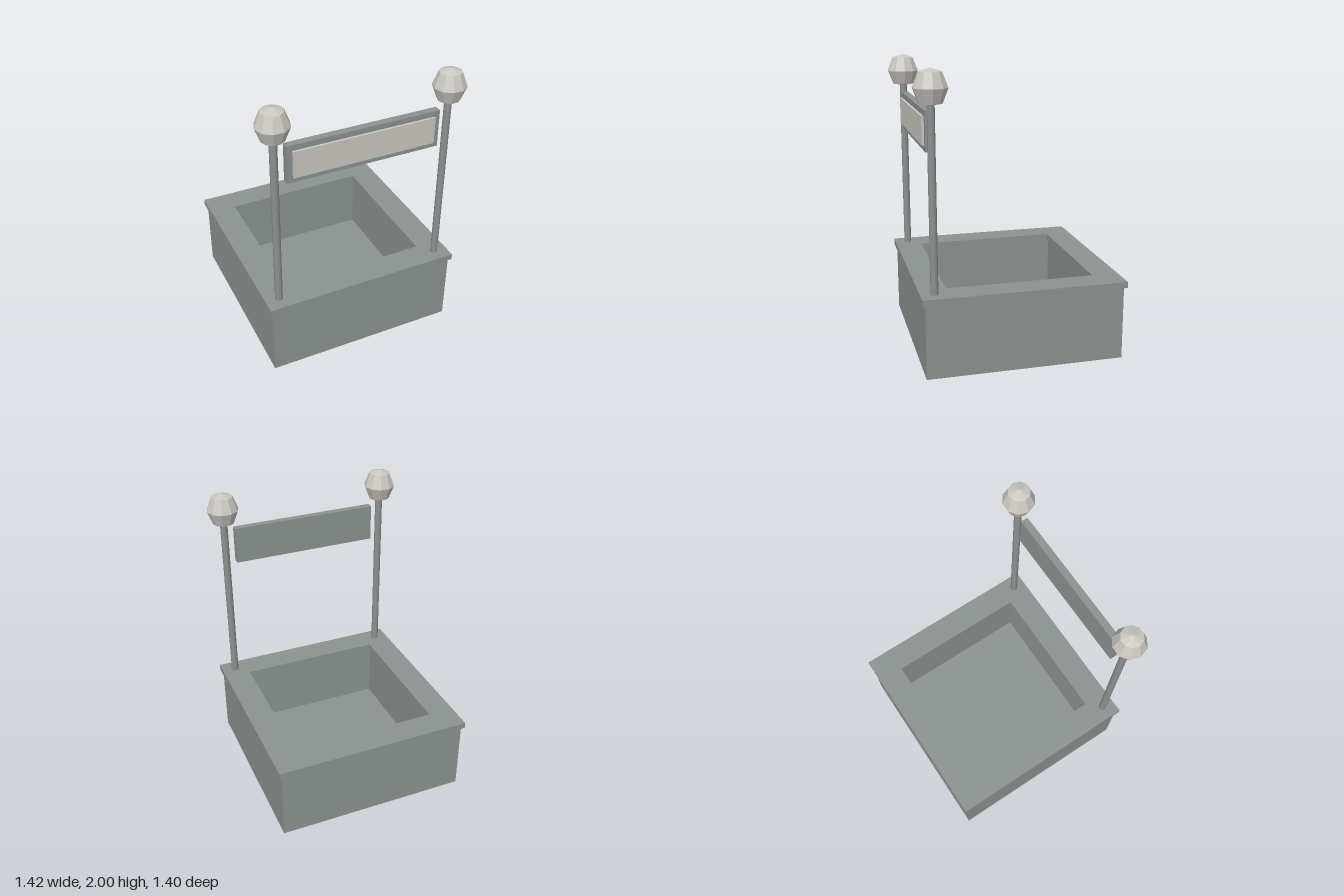
import * as THREE from 'three';

const stone = new THREE.MeshStandardMaterial({ color: 0x8b928f, name: 'grey green' });
const pale = new THREE.MeshStandardMaterial({ color: 0xcac7c0, name: 'pale grey' });

// Square outline with a square hole, extruded upwards from y0 to y1
function frame(outer, inner, y0, y1) {
  const square = (Type, r) => new Type([[-r, -r], [r, -r], [r, r], [-r, r]].map(([x, y]) => new THREE.Vector2(x, y)));
  const shape = square(THREE.Shape, outer);
  shape.holes.push(square(THREE.Path, inner));
  const geo = new THREE.ExtrudeGeometry(shape, { depth: y1 - y0, bevelEnabled: false });
  return geo.rotateX(-Math.PI / 2).translate(0, y0, 0);
}

export function createModel() {
  const model = new THREE.Group();
  model.name = 'stall';

  function add(parent, name, geo, mat, x = 0, y = 0, z = 0) {
    const mesh = new THREE.Mesh(geo, mat);
    mesh.name = name;
    mesh.position.set(x, y, z);
    parent.add(mesh);
  }

  // Square base: thin hollow skirt with an overhanging rim
  const base = new THREE.Group();
  base.name = 'base';
  base.position.z = -0.007;
  model.add(base);
  add(base, 'skirt', frame(0.677, 0.672, 0, 0.512), stone);
  add(base, 'rim', frame(0.696, 0.51, 0.512, 0.555), stone);

  // Basin hanging inside the skirt, set just behind the rim opening
  add(base, 'basinWalls', frame(0.54, 0.525, 0.094, 0.512), stone);
  add(base, 'basinFloor', new THREE.BoxGeometry(1.08, 0.008, 1.08), stone, 0, 0.094);

  // Slats running across the underside
  for (let i = 0; i < 5; i++) {
    add(base, 'slat', new THREE.BoxGeometry(1.02, 0.04, 0.106), stone, 0, 0.072, (i - 2) * 0.11);
  }

  // Two posts with faceted lamps
  const lampProfile = [[0, 1.772], [0.075, 1.785], [0.112, 1.88], [0.075, 1.977], [0, 2]]
    .map(([r, y]) => new THREE.Vector2(r, y));
  for (const side of [-1, 1]) {
    add(model, 'post', new THREE.CylinderGeometry(0.026, 0.026, 1.24, 10), stone, side * 0.6, 1.17, 0.595);
    const lamp = new THREE.LatheGeometry(lampProfile, 10, Math.PI / 2).toNonIndexed();
    lamp.computeVertexNormals();
    add(model, 'lamp', lamp, pale, side * 0.6, 0, 0.595);
  }

  // Sign board between the posts with a pale face panel
  add(model, 'signBoard', new THREE.BoxGeometry(1.055, 0.262, 0.05), stone, 0, 1.6, 0.596);
  add(model, 'signPanel', new THREE.BoxGeometry(0.98, 0.186, 0.016), pale, 0, 1.6, 0.629);

  return model;
}
